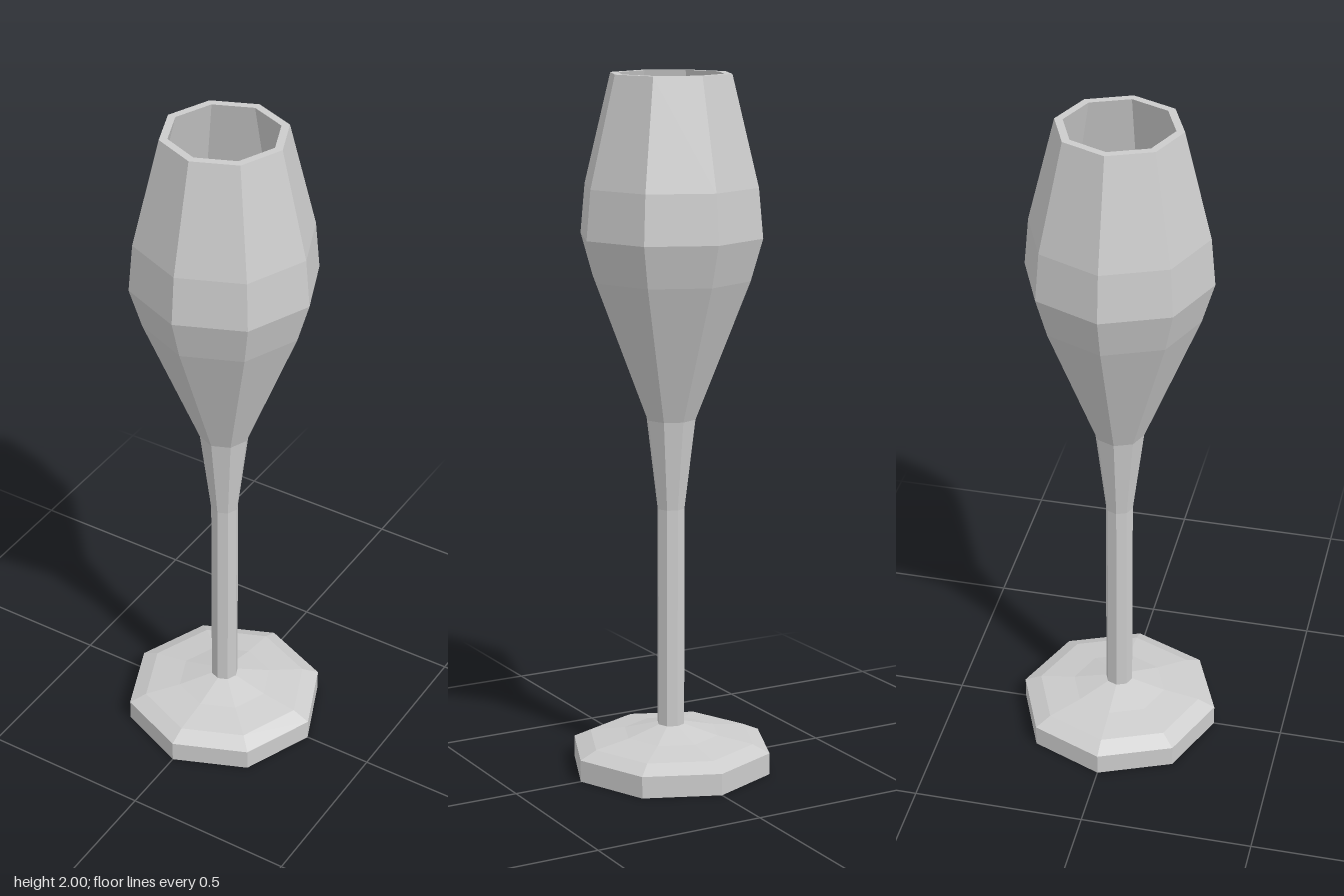
import * as THREE from 'three';

const SIDES = 8;

// Turns a [radius, height] profile into a faceted eight-sided part
function turned(name, profile, material) {
  const points = profile.map(([r, y]) => new THREE.Vector2(r, y));
  const mesh = new THREE.Mesh(new THREE.LatheGeometry(points, SIDES), material);
  mesh.name = name;
  return mesh;
}

export function createModel() {
  const group = new THREE.Group();
  group.name = 'flute';
  const material = new THREE.MeshStandardMaterial({ color: 0xcccccc, flatShading: true });

  // Foot: flat underside, short rim, gentle slope up to the stem
  group.add(turned('foot', [
    [0, 0], [0.295, 0], [0.295, 0.063], [0.245, 0.086], [0.14, 0.103], [0.04, 0.13],
  ], material));

  // Stem: straight, then flaring into the bowl
  group.add(turned('stem', [[0.04, 0.13], [0.04, 0.77], [0.072, 1.03]], material));

  // Bowl: outer wall, flat lip, inner wall and floor
  group.add(turned('bowl', [
    [0.072, 1.03], [0.23, 1.43], [0.265, 1.55], [0.252, 1.69], [0.175, 2],
    [0.152, 2], [0.229, 1.69], [0.241, 1.55], [0.207, 1.43], [0.068, 1.06], [0, 1.06],
  ], material));

  return group;
}
